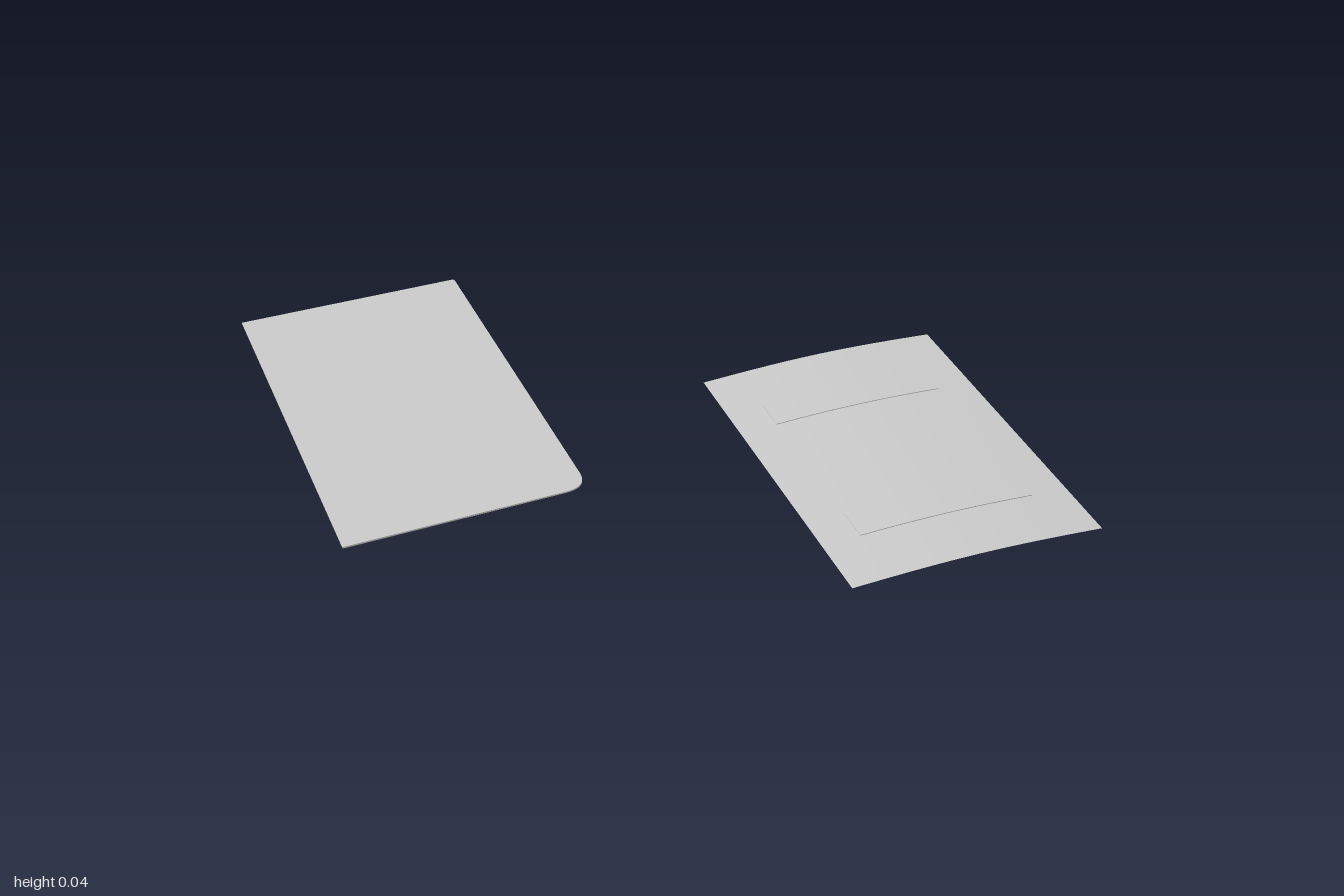
import * as THREE from 'three';

const material = new THREE.MeshStandardMaterial({ color: 0xcccccc, side: THREE.DoubleSide });

// Maps (u, v) in 0..1 to the gently arched panel
function panelPoint(u, v, lift = 0) {
  const x = 0.17 + 0.61 * u + 0.217 * v;
  const z = -0.12 - 0.163 * u + 0.797 * v;
  const back = 0.034 * (1 - u) + 0.033 * u;
  const front = 0.018 * (1 - u) + 0.003 * u;
  const y = back * (1 - v) + front * v + 0.012 * Math.sin(Math.PI * u) + lift;
  return [x, y, z];
}

// Bends a geometry lying in the u-v square onto the panel
function bend(geometry) {
  const p = geometry.attributes.position;
  for (let i = 0; i < p.count; i++) {
    p.setXYZ(i, ...panelPoint(p.getX(i), p.getZ(i), p.getY(i)));
  }
  geometry.computeVertexNormals();
  return geometry;
}

function addMesh(parent, name, geometry) {
  const mesh = new THREE.Mesh(geometry, material);
  mesh.name = name;
  parent.add(mesh);
}

export function createModel() {
  const group = new THREE.Group();

  // Flat sheet with one large and one small rounded corner
  const outline = new THREE.Shape();
  outline.moveTo(-0.71, -0.445);
  outline.lineTo(-0.205, -0.296);
  outline.quadraticCurveTo(-0.152, -0.28, -0.168, -0.227);
  outline.lineTo(-0.438, 0.675);
  outline.quadraticCurveTo(-0.44, 0.686, -0.451, 0.682);
  outline.lineTo(-1, 0.52);
  outline.closePath();
  const sheet = new THREE.ExtrudeGeometry(outline, { depth: 0.004, bevelEnabled: false, curveSegments: 10 });
  sheet.rotateX(-Math.PI / 2).translate(0, 0.034, 0);
  addMesh(group, 'flatSheet', sheet);

  // Thin arched panel
  const panel = new THREE.PlaneGeometry(1, 1, 24, 8);
  panel.rotateX(-Math.PI / 2).translate(0.5, 0, 0.5);
  addMesh(group, 'archedPanel', bend(panel));

  // Two slim strips set through the panel
  for (const [name, v] of [['backStrip', 0.23], ['frontStrip', 0.77]]) {
    const strip = new THREE.BoxGeometry(0.7, 0.003, 0.1, 18, 1, 2);
    strip.translate(0.5, 0.0005, v);
    addMesh(group, name, bend(strip));
  }
  return group;
}
